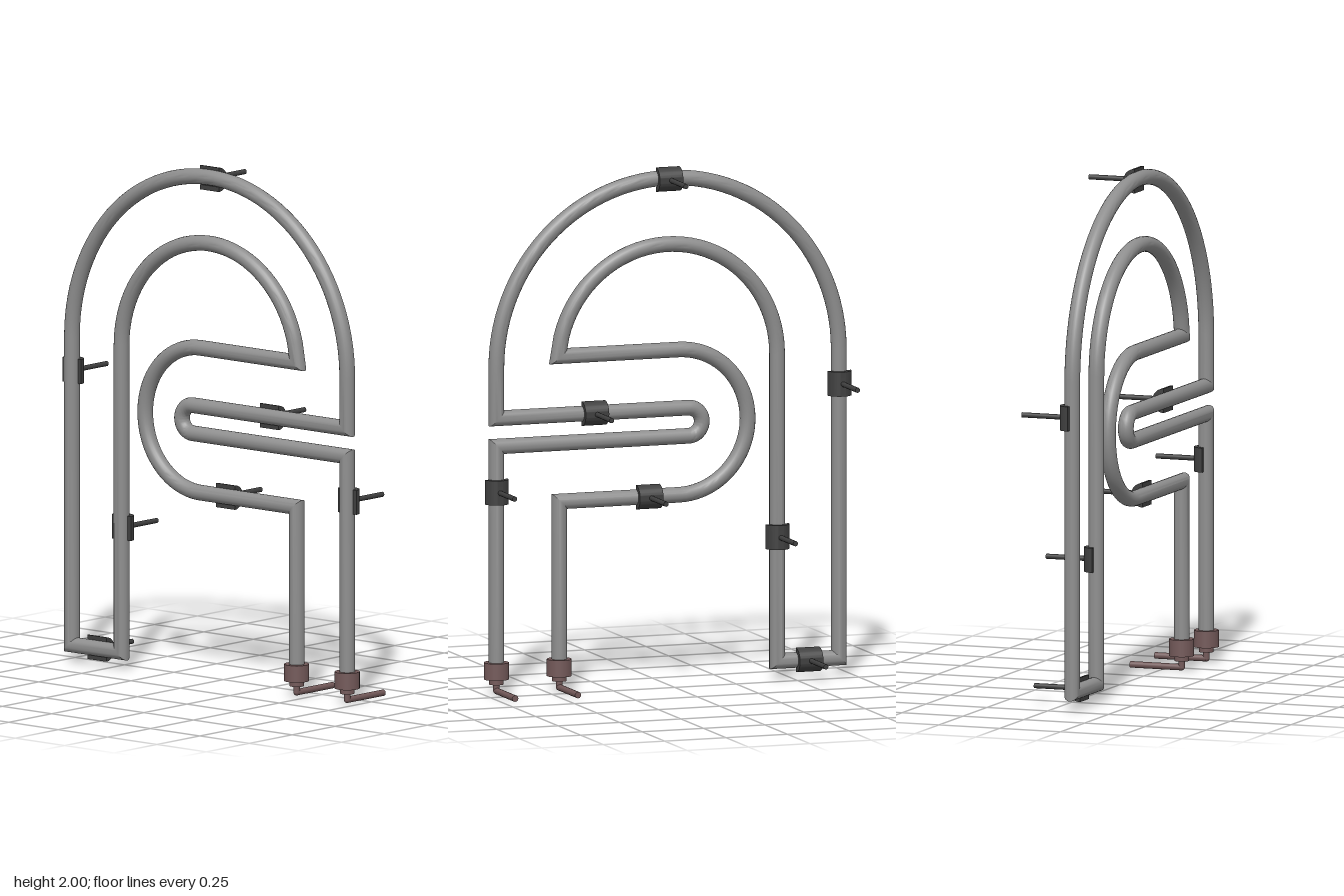
import * as THREE from 'three';
import { toCreasedNormals } from 'three/addons/utils/BufferGeometryUtils.js';

const TUBE_Z = 0.08, TUBE_R = 0.03;
const glass = new THREE.MeshStandardMaterial({ color: 0x8e8e8e });
const dark = new THREE.MeshStandardMaterial({ color: 0x404040 });
const brown = new THREE.MeshStandardMaterial({ color: 0x735959 });

// Points on an arc, angles in units of PI
function arc(cx, cy, r, from, to, steps) {
  return Array.from({ length: steps + 1 }, (_, i) => {
    const a = Math.PI * (from + (to - from) * i / steps);
    return new THREE.Vector2(cx + r * Math.cos(a), cy + r * Math.sin(a));
  });
}

// Round section swept along a flat path, with mitred corners
function mitredTube(path, radius, sides = 20) {
  const pos = [], index = [], last = path.length - 1;
  path.forEach((p, i) => {
    const k = Math.max(i, 1), j = Math.min(i, last - 1);
    const d0 = path[k].clone().sub(path[k - 1]).normalize();
    const d1 = path[j + 1].clone().sub(path[j]).normalize();
    const t = d0.clone().add(d1).normalize();
    const stretch = radius / t.dot(d0);
    for (let s = 0; s < sides; s++) {
      const a = s / sides * Math.PI * 2, c = Math.cos(a) * stretch;
      pos.push(p.x - t.y * c, p.y + t.x * c, TUBE_Z + Math.sin(a) * radius);
      if (i < last) {
        const q = i * sides + s, n = i * sides + (s + 1) % sides;
        index.push(q, n, q + sides, n, n + sides, q + sides);
      }
    }
  });
  const geo = new THREE.BufferGeometry();
  geo.setAttribute('position', new THREE.Float32BufferAttribute(pos, 3));
  geo.setIndex(index);
  return toCreasedNormals(geo, 0.6);
}

function add(parent, name, geo, mat, x = 0, y = 0, z = 0) {
  const mesh = new THREE.Mesh(geo, mat);
  mesh.name = name;
  mesh.position.set(x, y, z);
  parent.add(mesh);
}

// Half-round saddle behind the tube with a pin running backwards
function makeClip(x, y, horizontal) {
  const clip = new THREE.Group();
  clip.name = 'mountingClip';
  const outline = new THREE.Shape();
  outline.absarc(0, 0, 0.047, 0, Math.PI, false);
  outline.absarc(0, 0, TUBE_R - 0.002, Math.PI, 0, true);
  const geo = new THREE.ExtrudeGeometry(outline, { depth: 0.095, bevelEnabled: false, curveSegments: 16 });
  geo.translate(0, 0, -0.0475).rotateX(-Math.PI / 2);
  add(clip, 'clipSaddle', toCreasedNormals(geo, 0.6), dark);
  const pin = new THREE.CylinderGeometry(0.01, 0.01, 0.165, 12).rotateX(Math.PI / 2);
  add(clip, 'clipPin', pin, dark, 0, 0, -0.1225);
  clip.position.set(x, y, TUBE_Z);
  if (horizontal) clip.rotation.z = Math.PI / 2;
  return clip;
}

// Stepped end cap with a terminal bent towards the back
function makeTerminal(x) {
  const end = new THREE.Group();
  end.name = 'endTerminal';
  add(end, 'endCap', new THREE.CylinderGeometry(0.048, 0.048, 0.065, 24), brown, 0, 0.09);
  add(end, 'endCollar', new THREE.CylinderGeometry(0.028, 0.028, 0.025, 20), brown, 0, 0.05);
  add(end, 'terminalStem', new THREE.CylinderGeometry(0.0125, 0.0125, 0.03, 12), brown, 0, 0.026);
  add(end, 'terminalElbow', new THREE.SphereGeometry(0.0125, 12, 10), brown, 0, 0.0125);
  const rod = new THREE.CylinderGeometry(0.0125, 0.0125, 0.21, 12).rotateX(Math.PI / 2);
  add(end, 'terminalRod', rod, brown, 0, 0.0125, -0.105);
  end.position.set(x, 0, TUBE_Z);
  return end;
}

export function createModel() {
  const model = new THREE.Group();
  model.name = 'bentTubeLamp';
  const v = (x, y) => new THREE.Vector2(x, y);

  // One continuous tube from the outer terminal to the inner one
  const path = [
    v(0.697, 0.1), v(0.697, 0.957),
    ...arc(-0.085, 1.0115, 0.0545, 1.5, 0.5, 20),
    v(0.697, 1.066),
    ...arc(0, 1.263, 0.697, 0, 1, 56),
    v(-0.697, 0.067), v(-0.446, 0.067),
    ...arc(0, 1.257, 0.446, 1, 0.08, 36),
    v(0.445, 1.293),
    ...arc(-0.045, 1.012, 0.281, 0.5, 1.5, 40),
    v(0.441, 0.731), v(0.441, 0.1),
  ];
  add(model, 'glassTube', mitredTube(path, TUBE_R), glass);

  const clips = [
    [0, 1.955, true], [0.302, 1.066, true], [0.081, 0.731, true], [-0.57, 0.067, true],
    [-0.699, 1.13, false], [-0.446, 0.55, false], [0.697, 0.783, false],
  ];
  for (const c of clips) model.add(makeClip(...c));
  for (const x of [0.441, 0.697]) model.add(makeTerminal(x));
  return model;
}
